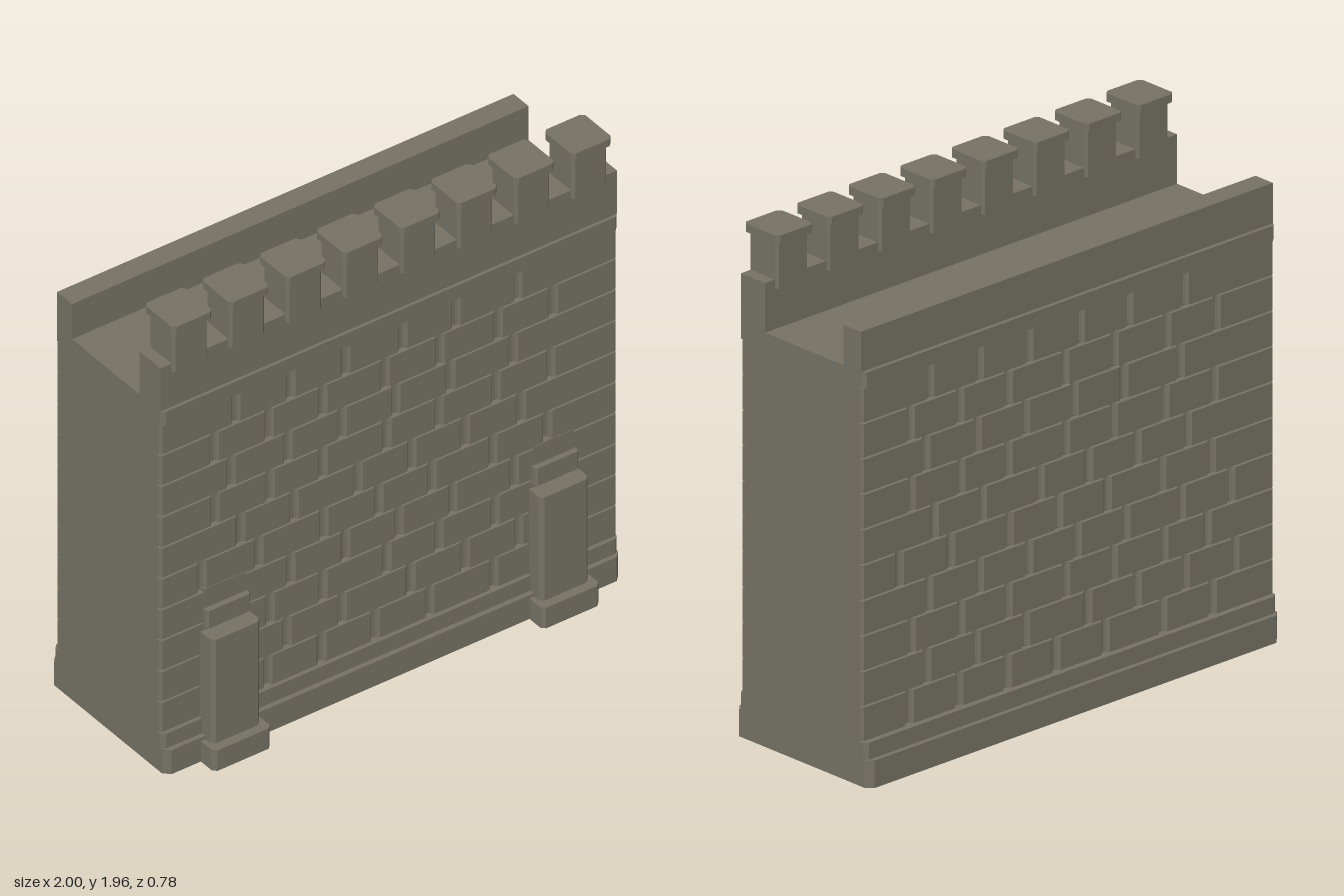
import * as THREE from 'three';

const stone = new THREE.MeshStandardMaterial({ color: 0x757164 });
stone.name = 'stone';

// Upright block with chamfered vertical corners
function block(name, x0, x1, y0, y1, z0, z1, c = 0) {
  const s = new THREE.Shape();
  const pts = c
    ? [[x0 + c, -z1], [x1 - c, -z1], [x1, -z1 + c], [x1, -z0 - c],
       [x1 - c, -z0], [x0 + c, -z0], [x0, -z0 - c], [x0, -z1 + c]]
    : [[x0, -z1], [x1, -z1], [x1, -z0], [x0, -z0]];
  s.setFromPoints(pts.map(([x, y]) => new THREE.Vector2(x, y)));
  const g = new THREE.ExtrudeGeometry(s, { depth: y1 - y0, bevelEnabled: false });
  g.rotateX(-Math.PI / 2).translate(0, y0, 0);
  const m = new THREE.Mesh(g, stone);
  m.name = name;
  return m;
}

// Vertical joint positions for each course, bottom to top
const joints = [
  [-0.77, -0.53, -0.295, -0.06, 0.18, 0.46, 0.7],
  [-0.685, -0.445, -0.205, 0.095, 0.335, 0.57, 0.81],
  [-0.76, -0.52, -0.29, -0.01, 0.22, 0.465, 0.675],
  [-0.675, -0.43, -0.19, 0.045, 0.28, 0.55, 0.79],
  [-0.82, -0.57, -0.285, -0.045, 0.19, 0.455, 0.695],
  [-0.65, -0.415, -0.135, 0.1, 0.335, 0.58],
  [-0.76, -0.52, -0.29, -0.01, 0.22, 0.47, 0.71],
  [-0.69, -0.44, -0.205, 0.03, 0.27, 0.545],
  [-0.765, -0.525, -0.29, -0.015, 0.225, 0.48, 0.72],
  [-0.67, -0.43, -0.19, 0.06, 0.295, 0.565],
];

// One face of brick courses, built facing +z
function brickFace(name, z0, z1) {
  const face = new THREE.Group();
  face.name = name;
  const h = 0.136, gap = 0.012, bevel = 0.009;
  joints.forEach((row, i) => {
    const edges = [-1 - gap, ...row, 1 + gap];
    for (let k = 0; k < edges.length - 1; k++) {
      const a = edges[k] + gap, b = edges[k + 1] - gap, y = 0.17 + i * h;
      face.add(block('brick', a, b, y + 0.004, y + h - 0.004, z0, z1, bevel));
    }
  });
  return face;
}

export function createModel() {
  const root = new THREE.Group();
  root.name = 'castleWall';

  // Core, stepped plinth and top moulding
  root.add(
    block('wallCore', -1, 1, 0.1, 1.585, -0.33, 0.255),
    block('plinthLower', -1, 1, 0, 0.105, -0.39, 0.31, 0.025),
    block('plinthUpper', -1, 1, 0.105, 0.17, -0.37, 0.29, 0.015),
    block('topMoulding', -1, 1, 1.53, 1.59, -0.362, 0.29, 0.015),
  );

  // Masonry on both faces
  root.add(brickFace('frontBricks', 0.235, 0.278));
  const back = brickFace('backBricks', 0.31, 0.353);
  back.rotation.y = Math.PI;
  root.add(back);

  // Parapets along the walkway
  root.add(
    block('frontParapet', -1, 1, 1.59, 1.78, 0.152, 0.277),
    block('backParapet', -1, 1, 1.59, 1.745, -0.345, -0.255),
  );

  // Capped merlons
  for (let i = 0; i < 8; i++) {
    const x = -0.875 + i * 0.25;
    const merlon = new THREE.Group();
    merlon.name = 'merlon';
    merlon.add(
      block('merlonBody', x - 0.077, x + 0.077, 1.745, 1.928, 0.14, 0.288, 0.01),
      block('merlonCap', x - 0.088, x + 0.088, 1.925, 1.957, 0.125, 0.303, 0.014),
    );
    root.add(merlon);
  }

  // Pair of front buttresses
  for (const side of [-1, 1]) {
    const x = side * 0.72;
    const buttress = new THREE.Group();
    buttress.name = side > 0 ? 'leftButtress' : 'rightButtress';
    buttress.add(
      block('buttressFoot', x - 0.127, x + 0.127, 0, 0.09, 0.2, 0.39, 0.015),
      block('buttressShaft', x - 0.107, x + 0.107, 0.09, 0.545, 0.2, 0.352, 0.015),
      block('buttressHead', x - 0.095, x + 0.095, 0.565, 0.642, 0.2, 0.305, 0.008),
      block('buttressBacking', x - 0.09, x + 0.09, 0.5, 0.725, 0.2, 0.281),
    );
    root.add(buttress);
  }
  return root;
}
